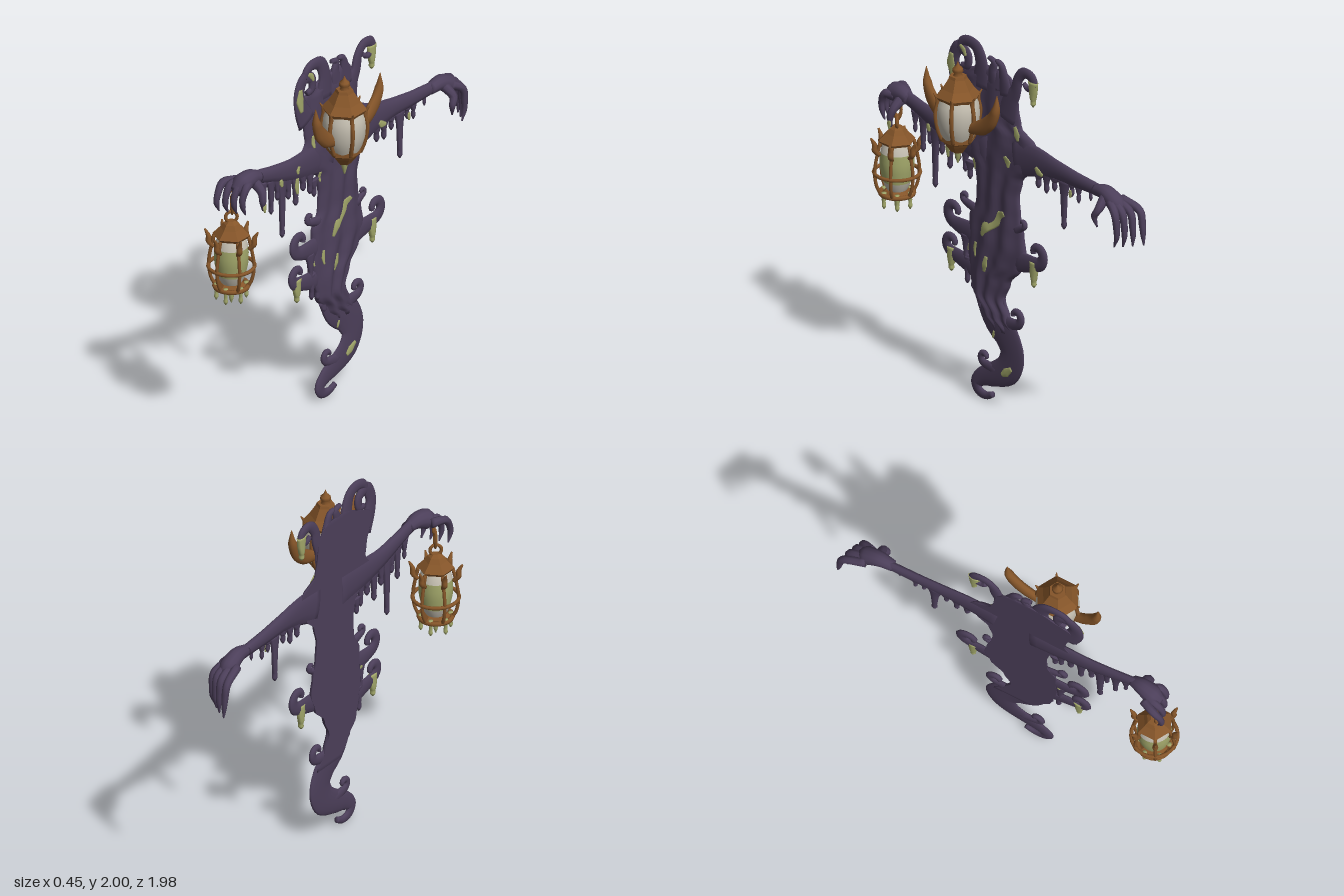
import * as THREE from 'three';

const mat = (name, color) => {
  const m = new THREE.MeshStandardMaterial({ color });
  m.name = name;
  return m;
};
const purple = mat('purple cloth', 0x4c3f5a);
const bronze = mat('bronze', 0x855529);
const glassWhite = mat('pale glass', 0xc4beb0);
const slime = mat('green slime', 0xa2a76a);

const add = (group, name, geometry, material) => {
  const mesh = new THREE.Mesh(geometry, material);
  mesh.name = name;
  group.add(mesh);
  return mesh;
};

// Closed skin over a list of equal-sized rings, with capped ends
function skin(rings) {
  const n = rings[0].length, pos = [], idx = [];
  rings.forEach(r => r.forEach(p => pos.push(p.x, p.y, p.z)));
  for (let i = 0; i < rings.length - 1; i++) for (let j = 0; j < n; j++) {
    const a = i * n + j, b = i * n + (j + 1) % n;
    idx.push(a, b, a + n, b, b + n, a + n);
  }
  [0, rings.length - 1].forEach((i, end) => {
    const c = new THREE.Vector3();
    rings[i].forEach(p => c.addScaledVector(p, 1 / n));
    const k = pos.length / 3;
    pos.push(c.x, c.y, c.z);
    for (let j = 0; j < n; j++) {
      const a = i * n + j, b = i * n + (j + 1) % n;
      end ? idx.push(a, b, k) : idx.push(b, a, k);
    }
  });
  const g = new THREE.BufferGeometry();
  g.setAttribute('position', new THREE.Float32BufferAttribute(pos, 3));
  g.setIndex(idx);
  g.computeVertexNormals();
  return g;
}

// Tapered tube through [z, y, radius, x]; depth limits its thickness along x
function tube(pts, depth = 1, sides = 10, x0 = -0.044) {
  const curve = new THREE.CatmullRomCurve3(pts.map(p => new THREE.Vector3(p[3] ?? x0, p[1], p[0])));
  const steps = pts.length * 4, rings = [], X = new THREE.Vector3(1, 0, 0);
  for (let i = 0; i <= steps; i++) {
    const u = i / steps, f = u * (pts.length - 1), k = Math.min(Math.floor(f), pts.length - 2);
    const r = THREE.MathUtils.lerp(pts[k][2], pts[k + 1][2], f - k);
    const c = curve.getPoint(u), T = curve.getTangent(u);
    const N = T.clone().cross(X).normalize(), B = T.clone().cross(N);
    rings.push(Array.from({ length: sides }, (_, j) => {
      const a = j / sides * Math.PI * 2;
      return c.clone().addScaledVector(N, Math.cos(a) * r).addScaledVector(B, Math.sin(a) * Math.min(r, depth));
    }));
  }
  return skin(rings);
}

// Spiral curl growing out of a base point
function curl(base, cz, cy, R, a0, sweep, r) {
  const pts = [[...base, r * 2]];
  for (let i = 0; i <= 9; i++) {
    const t = i / 9, a = a0 + sweep * t, q = R * (1 - 0.65 * t);
    pts.push([cz + q * Math.cos(a), cy + q * Math.sin(a), r * (1.25 - 0.75 * t)]);
  }
  return tube(pts, 0.014);
}

// Torso and hood rows: y, left z, right z, depth
const rows = [
  [0.42, 0.09, -0.11, 0.03], [0.5, 0.15, -0.05, 0.045], [0.6, 0.22, -0.01, 0.055], [0.7, 0.24, -0.05, 0.055],
  [0.8, 0.255, -0.13, 0.052], [0.9, 0.25, -0.165, 0.05], [1.0, 0.25, -0.15, 0.045], [1.1, 0.2, -0.125, 0.042],
  [1.2, 0.195, -0.115, 0.045], [1.3, 0.21, -0.14, 0.045], [1.38, 0.28, -0.21, 0.045], [1.46, 0.34, -0.3, 0.042],
  [1.53, 0.3, -0.24, 0.04], [1.6, 0.31, -0.13, 0.035], [1.7, 0.34, -0.11, 0.03], [1.78, 0.34, -0.1, 0.028],
  [1.84, 0.22, -0.07, 0.024], [1.87, 0.13, -0.02, 0.015]];
const BACK = -0.058;
function rowAt(y) {
  const k = Math.max(0, Math.min(rows.length - 2, rows.findIndex(r => r[0] >= y) - 1));
  const t = THREE.MathUtils.smoothstep(y, rows[k][0], rows[k + 1][0]);
  return rows[k].map((v, i) => THREE.MathUtils.lerp(v, rows[k + 1][i], t));
}
function frontX(z, y) {
  const [, l, r, d] = rowAt(y);
  const t = Math.max(-1, Math.min(1, (2 * z - l - r) / (l - r)));
  const fold = 0.2 * Math.sin(t * 9 + y * 6) * (1 - t * t);
  return BACK + d * (Math.pow(1 - t * t, 0.35) * 0.88 + fold);
}
function bodyGeometry() {
  const rings = [], n = 28;
  for (let i = 0; i <= 72; i++) {
    const y = 0.42 + 1.45 * i / 72, [, l, r] = rowAt(y), ring = [];
    const zAt = j => (l + r) / 2 + (l - r) / 2 * Math.cos(j / n * Math.PI);
    for (let j = 0; j <= n; j++) ring.push(new THREE.Vector3(frontX(zAt(j), y), y, zAt(j)));
    for (let j = n - 1; j > 0; j--) ring.push(new THREE.Vector3(BACK, y, zAt(j)));
    rings.push(ring);
  }
  return skin(rings);
}

// Six-sided faceted or round turned part from [radius, y]
function turned(profile, sides = 6) {
  const g = new THREE.LatheGeometry(profile.map(p => new THREE.Vector2(...p)), sides);
  if (sides > 6) return g;
  const flat = g.toNonIndexed();
  flat.computeVertexNormals();
  return flat;
}
function around(group, name, geometry, material, start = 0) {
  for (let i = 0; i < 6; i++) add(group, name, geometry, material).rotation.y = start + i / 6 * Math.PI * 2;
}
const ring = (R, r, y) => new THREE.TorusGeometry(R, r, 8, 24).rotateX(Math.PI / 2).translate(0, y, 0);
const horn = s => tube([[0.08, 1.575, 0.028], [0.14 * s, 1.605, 0.042], [0.195 * s, 1.66, 0.04], [0.228 * s, 1.735, 0.024], [0.235 * s, 1.82, 0.002]], 0.024, 12, 0);

function headLantern() {
  const g = new THREE.Group();
  g.name = 'headLantern';
  g.position.set(0.105, 0, 0.175);
  add(g, 'roof', turned([[0, 1.715], [0.108, 1.715], [0.12, 1.735], [0.085, 1.775], [0.05, 1.83], [0.045, 1.845], [0, 1.845]]), bronze);
  add(g, 'finial', turned([[0.03, 1.84], [0.018, 1.855], [0.03, 1.87], [0.026, 1.885], [0.01, 1.9], [0, 1.925]], 10), bronze);
  add(g, 'glass', turned([[0.07, 1.48], [0.094, 1.53], [0.11, 1.585], [0.114, 1.64], [0.109, 1.69], [0.09, 1.73]], 24), glassWhite);
  add(g, 'base', turned([[0, 1.415], [0.035, 1.42], [0.065, 1.46], [0.075, 1.475], [0.092, 1.485], [0.092, 1.51], [0.07, 1.52]]), bronze);
  around(g, 'rib', tube([[0.083, 1.49, 0.011], [0.105, 1.55, 0.011], [0.119, 1.64, 0.011], [0.108, 1.72, 0.011], [0.128, 1.755, 0.003]], 1, 6, 0), bronze);
  add(g, 'leftHorn', horn(1), bronze);
  add(g, 'rightHorn', horn(1.24), bronze).rotation.y = Math.PI;
  add(g, 'slimeDrip', tube([[0, 1.43, 0.022], [0, 1.39, 0.014], [0, 1.355, 0.004]], 1, 8, 0), slime);
  return g;
}

function handLantern() {
  const g = new THREE.Group();
  g.name = 'handLantern';
  g.position.set(-0.1, 0, 0.845);
  add(g, 'hangingRing', new THREE.TorusGeometry(0.03, 0.009, 8, 20).rotateY(0.8).translate(0, 1.31, 0), bronze);
  add(g, 'chainLink', new THREE.TorusGeometry(0.018, 0.008, 8, 16).scale(1, 2.4, 1).rotateY(-0.7).translate(0, 1.38, -0.005), bronze);
  add(g, 'hook', tube([[-0.005, 1.41, 0.008], [-0.02, 1.43, 0.008], [-0.01, 1.46, 0.008], [0.02, 1.46, 0.008]], 1, 8, 0), bronze);
  add(g, 'roof', turned([[0, 1.195], [0.088, 1.195], [0.098, 1.21], [0.06, 1.25], [0.042, 1.275], [0.02, 1.29], [0, 1.29]]), bronze);
  // Glass with a band of slime
  add(g, 'upperGlass', turned([[0.086, 1.145], [0.078, 1.175], [0.065, 1.2]], 24), glassWhite);
  add(g, 'slimeBand', turned([[0.075, 0.985], [0.088, 1.05], [0.09, 1.1], [0.086, 1.145]], 24), slime);
  add(g, 'lowerGlass', turned([[0.05, 0.93], [0.064, 0.955], [0.075, 0.985]], 24), glassWhite);
  add(g, 'middleRing', ring(0.12, 0.01, 1.03), bronze);
  add(g, 'bottomRing', ring(0.086, 0.013, 0.915), bronze);
  add(g, 'base', turned([[0, 0.885], [0.05, 0.895], [0.085, 0.915], [0.06, 0.935], [0, 0.935]]), bronze);
  around(g, 'rib', tube([[0.084, 0.91, 0.01], [0.108, 0.96, 0.009], [0.118, 1.04, 0.009], [0.105, 1.13, 0.009], [0.09, 1.2, 0.01]], 1, 6, 0), bronze);
  around(g, 'claw', tube([[0.092, 1.13, 0.011], [0.117, 1.16, 0.016], [0.119, 1.19, 0.014], [0.138, 1.23, 0.005]], 1, 8, 0), bronze);
  around(g, 'slimeDrip', tube([[0.078, 0.93, 0.013], [0.078, 0.88, 0.009], [0.078, 0.855, 0.012], [0.078, 0.838, 0.003]], 1, 8, 0), slime, 0.3);
  add(g, 'centreDrip', tube([[0, 0.9, 0.018], [0, 0.84, 0.012], [0, 0.815, 0.003]], 1, 8, 0), slime);
  return g;
}

export function createModel() {
  const model = new THREE.Group();
  model.name = 'lanternGhost';
  add(model, 'robe', bodyGeometry(), purple);
  add(model, 'tail', tube([[0.1, 0.6, 0.11], [0.05, 0.48, 0.1], [-0.035, 0.4, 0.095], [-0.075, 0.31, 0.088], [-0.04, 0.22, 0.085],
    [0.07, 0.155, 0.065], [0.15, 0.12, 0.05], [0.195, 0.075, 0.036], [0.175, 0.035, 0.03], [0.12, 0.024, 0.022], [0.07, 0.045, 0.016]], 0.014, 14), purple);

  // Wispy curls along the robe
  const H = -Math.PI / 2, S = 4.9;
  [[[0.2, 0.9], 0.355, 0.98, 0.062, H, S, 0.032], [[0.2, 0.71], 0.375, 0.8, 0.052, H, S, 0.03],
    [[0.19, 1.04], 0.275, 1.09, 0.026, H, S, 0.016], [[-0.1, 0.85], -0.255, 0.935, 0.06, H, -S, 0.032],
    [[0.02, 0.47], -0.1, 0.535, 0.046, H, -S, 0.024], [[0.04, 0.18], 0.13, 0.235, 0.036, H, S, 0.02],
    [[-0.1, 1.02], -0.15, 1.07, 0.022, H, -S, 0.014]
  ].forEach(c => add(model, 'robeCurl', curl(...c), purple));

  // Curling hood tips
  [[[0.3, 1.66, 0.07], [0.35, 1.76, 0.05], [0.36, 1.85, 0.04], [0.32, 1.915, 0.037], [0.26, 1.89, 0.03], [0.26, 1.83, 0.024], [0.3, 1.82, 0.016]],
    [[0.16, 1.74, 0.07], [0.155, 1.87, 0.046], [0.19, 1.95, 0.038], [0.25, 1.968, 0.032], [0.3, 1.95, 0.026], [0.32, 1.91, 0.018]],
    [[0.05, 1.76, 0.05], [0.07, 1.86, 0.03], [0.06, 1.91, 0.018], [0.1, 1.925, 0.012]],
    [[-0.03, 1.75, 0.05], [-0.01, 1.85, 0.033], [0.01, 1.91, 0.02], [0.045, 1.925, 0.01]],
    [[-0.03, 1.62, 0.08], [-0.065, 1.74, 0.055], [-0.1, 1.8, 0.038], [-0.12, 1.875, 0.031], [-0.165, 1.92, 0.03], [-0.22, 1.91, 0.03],
      [-0.235, 1.86, 0.024], [-0.19, 1.84, 0.016], [-0.16, 1.86, 0.012]]
  ].forEach(p => add(model, 'hoodCurl', tube(p, 0.014), purple));

  // Arms
  add(model, 'leftArm', tube([[0.1, 1.41, 0.11], [0.3, 1.42, 0.085], [0.45, 1.437, 0.062], [0.6, 1.475, 0.045], [0.72, 1.505, 0.038], [0.77, 1.5, 0.04]], 0.022), purple);
  add(model, 'rightArm', tube([[-0.1, 1.43, 0.11], [-0.25, 1.455, 0.085], [-0.4, 1.455, 0.057], [-0.55, 1.445, 0.045], [-0.7, 1.44, 0.035], [-0.78, 1.435, 0.035]], 0.022), purple);

  // Hands and fingers
  add(model, 'leftPalm', tube([[0.69, 1.5, 0.03, -0.04], [0.75, 1.515, 0.045, -0.05], [0.81, 1.5, 0.055, -0.06], [0.86, 1.47, 0.03, -0.065]], 0.055, 12), purple);
  [-0.145, -0.1, -0.055, -0.01].forEach((x, i) => add(model, 'leftFinger',
    tube([[0.79, 1.5, 0.026, x * 0.6 - 0.025], [0.86 - i * 0.008, 1.5, 0.022, x], [0.9 - i * 0.012, 1.45, 0.018, x], [0.91 - i * 0.016, 1.4, 0.015, x], [0.89 - i * 0.016, 1.35, 0.004, x]], 1, 8), purple));
  add(model, 'leftThumb', tube([[0.74, 1.49, 0.03, -0.03], [0.745, 1.45, 0.023, 0.02], [0.755, 1.4, 0.018, 0.035], [0.75, 1.35, 0.004, 0.03]], 1, 8), purple);
  add(model, 'rightPalm', tube([[-0.7, 1.44, 0.03, -0.04], [-0.78, 1.445, 0.042, -0.04], [-0.85, 1.41, 0.05, -0.04], [-0.89, 1.37, 0.03, -0.04]], 0.055, 12), purple);
  [-0.11, -0.06, -0.02, 0.015].forEach((x, i) => add(model, 'rightFinger',
    tube([[-0.84, 1.42, 0.025, x * 0.6 - 0.02], [-0.955 + i * 0.018, 1.38, 0.021, x], [-0.975 + i * 0.02, 1.3, 0.018, x], [-0.98 + i * 0.022, 1.25, 0.014, x], [-0.985 + i * 0.03, 1.195, 0.004, x]], 1, 8), purple));
  add(model, 'rightThumb', tube([[-0.79, 1.43, 0.028, -0.02], [-0.8, 1.38, 0.022, 0.035], [-0.78, 1.34, 0.018, 0.045], [-0.79, 1.28, 0.004, 0.035]], 1, 8), purple);

  // Dripping cloth: z, top y, bottom y, radius
  [[0.5, 1.41, 1.07, 0.017], [0.59, 1.44, 1.24, 0.015], [0.65, 1.45, 1.33, 0.012], [0.54, 1.43, 1.3, 0.015], [0.45, 1.4, 1.27, 0.018],
    [0.39, 1.39, 1.21, 0.018], [0.33, 1.38, 1.27, 0.02], [0.275, 1.36, 1.23, 0.016], [0.24, 1.3, 1.2, 0.016], [-0.27, 1.4, 1.31, 0.018],
    [-0.33, 1.41, 1.3, 0.016], [-0.39, 1.41, 1.33, 0.015], [-0.46, 1.41, 1.14, 0.017], [-0.52, 1.42, 1.34, 0.013], [-0.57, 1.42, 1.32, 0.012],
    [-0.66, 1.43, 1.36, 0.01], [0.26, 0.76, 0.61, 0.016], [0.21, 0.7, 0.59, 0.02], [0.16, 0.62, 0.5, 0.02], [0.27, 0.88, 0.73, 0.018]
  ].forEach(([z, t, b, r]) => add(model, 'clothDrip',
    tube([[z, t, r * 2.8], [z, t - 0.3 * (t - b), r * 1.5], [z, b + 0.05, r * 0.8], [z, b + 0.02, r], [z, b, r * 0.3]], 0.013, 8), purple));

  // Slime hanging off the curls
  [[0.38, 0.775, 0.64], [-0.235, 0.885, 0.74], [-0.23, 1.89, 1.75]].forEach(([z, t, b]) => add(model, 'slimeDrip',
    tube([[z, t, 0.036], [z, t - 0.06, 0.028], [z, b + 0.035, 0.014], [z, b + 0.015, 0.015], [z, b, 0.004]], 0.017, 8), slime));

  // Slime streaks lying on the robe
  [[[-0.035, 1.095, 0.014], [0, 1.065, 0.034], [0.04, 1.02, 0.026], [0.09, 0.985, 0.028], [0.12, 0.93, 0.012]],
    [[0.09, 0.82, 0.012], [0.105, 0.77, 0.024], [0.11, 0.73, 0.01]], [[0.18, 0.87, 0.01], [0.185, 0.83, 0.014], [0.18, 0.79, 0.006]],
    [[0.27, 0.88, 0.01], [0.25, 0.84, 0.014], [0.245, 0.8, 0.006]], [[0.2, 1.33, 0.01], [0.2, 1.3, 0.014], [0.195, 1.27, 0.006]],
    [[0.05, 0.41, 0.006], [0.055, 0.39, 0.01], [0.06, 0.37, 0.005]], [[-0.04, 1.42, 0.012], [-0.055, 1.39, 0.022], [-0.06, 1.36, 0.008]],
    [[-0.03, 1.75, 0.02], [-0.045, 1.71, 0.03], [-0.03, 1.66, 0.012]], [[-0.1, 1.6, 0.012], [-0.12, 1.56, 0.022], [-0.13, 1.53, 0.01]],
    [[0.255, 1.56, 0.01], [0.255, 1.52, 0.016], [0.25, 1.49, 0.008]]
  ].forEach(p => add(model, 'slimeStreak', tube(p.map(([z, y, r]) => [z, y, r, frontX(z, y)]), 0.004, 8), slime));

  // Slime spots on tail, hood edge and arms: x, then points
  [[-0.03, [-0.01, 0.185, 0.012], [-0.04, 0.205, 0.024], [-0.08, 0.235, 0.012]],
    [-0.03, [0.365, 1.87, 0.014], [0.37, 1.81, 0.03], [0.355, 1.74, 0.014]],
    [-0.03, [0.3, 1.935, 0.01], [0.275, 1.915, 0.016], [0.26, 1.885, 0.008]],
    [-0.031, [0.39, 1.37, 0.012], [0.395, 1.325, 0.018], [0.39, 1.28, 0.008]],
    [-0.023, [0.535, 1.42, 0.01], [0.53, 1.4, 0.016], [0.525, 1.38, 0.008]],
    [-0.023, [0.385, 1.44, 0.008], [0.395, 1.42, 0.014], [0.395, 1.4, 0.008]],
    [-0.023, [-0.27, 1.43, 0.012], [-0.29, 1.41, 0.02], [-0.32, 1.4, 0.01]],
    [-0.031, [-0.52, 1.38, 0.008], [-0.52, 1.36, 0.013], [-0.52, 1.34, 0.006]],
    [0.045, [0.75, 1.39, 0.01], [0.752, 1.37, 0.016], [0.75, 1.345, 0.006]]
  ].forEach(([x, ...p]) => add(model, 'slimeSpot', tube(p, 0.0049, 8, x), slime));

  model.add(headLantern(), handLantern());
  return model;
}
